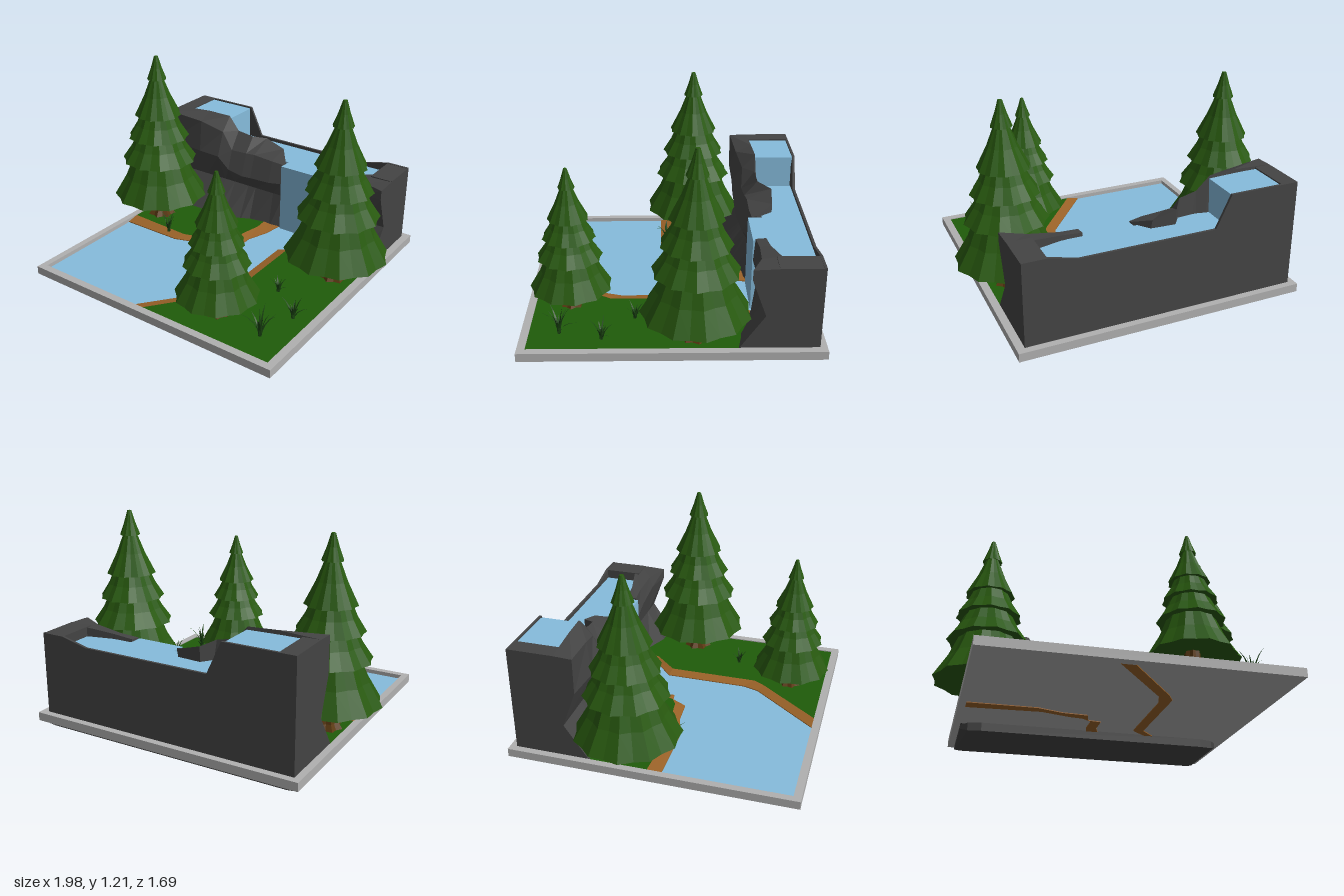
import * as THREE from 'three';

const mat = (color, side = THREE.FrontSide) =>
  new THREE.MeshStandardMaterial({ color, flatShading: true, side });
const rockMat = mat(0x444444, THREE.DoubleSide);
const waterMat = mat(0x86bcdc);
const frameMat = mat(0xb0b0b0);
const earthMat = mat(0x9a6228, THREE.DoubleSide);
const grassMat = mat(0x1f5c0a);
const leafMat = mat(0x28590f);
const barkMat = mat(0x5c3a12);
const cutMat = mat(0xa8701e);
const bladeMat = mat(0x1b4512, THREE.DoubleSide);

function add(parent, name, geometry, material) {
  const mesh = new THREE.Mesh(geometry, material);
  mesh.name = name;
  parent.add(mesh);
  return mesh;
}

// box given by its min and max corners
function box(parent, name, material, x0, x1, y0, y1, z0, z1) {
  const g = new THREE.BoxGeometry(x1 - x0, y1 - y0, z1 - z0);
  g.translate((x0 + x1) / 2, (y0 + y1) / 2, (z0 + z1) / 2);
  return add(parent, name, g, material);
}

// skin over closed rings of [x, y, z] points, with optional end caps in the yz plane
function loft(rings, caps) {
  const pos = [];
  const n = rings[0].length;
  for (let i = 0; i < rings.length - 1; i++) {
    for (let j = 0; j < n; j++) {
      const k = (j + 1) % n;
      const a = rings[i][j], b = rings[i][k], c = rings[i + 1][k], d = rings[i + 1][j];
      pos.push(...a, ...d, ...c, ...a, ...c, ...b);
    }
  }
  if (caps) {
    for (const ring of [rings[0], rings[rings.length - 1]]) {
      const flat = ring.map(p => new THREE.Vector2(p[2], p[1]));
      for (const t of THREE.ShapeUtils.triangulateShape(flat, [])) t.forEach(v => pos.push(...ring[v]));
    }
  }
  const g = new THREE.BufferGeometry();
  g.setAttribute('position', new THREE.Float32BufferAttribute(pos, 3));
  g.computeVertexNormals();
  return g;
}

// outline of [a, b] points pushed along z
function extrude(outline, depth) {
  const shape = new THREE.Shape(outline.map(([a, b]) => new THREE.Vector2(a, b)));
  return new THREE.ExtrudeGeometry(shape, { depth, bevelEnabled: false });
}

// turned profile whose radius alternates to make lobes
function fluted(profile, lobes, amount) {
  const g = new THREE.LatheGeometry(profile.map(([r, y]) => new THREE.Vector2(r, y)), lobes * 2);
  const p = g.attributes.position;
  for (let i = 0; i < p.count; i++) {
    const side = Math.floor(i / profile.length) % 2;
    const f = 1 + (side ? -amount : amount);
    p.setXYZ(i, p.getX(i) * f, p.getY(i), p.getZ(i) * f);
  }
  g.computeVertexNormals();
  return g;
}

function makeTree(x, z, scale, turn) {
  const tree = new THREE.Group();
  tree.name = 'pineTree';
  add(tree, 'trunk', fluted([[0.085, -0.01], [0.062, 0.03], [0.053, 0.08], [0.05, 0.22]], 7, 0.12), barkMat);
  // base radius, base height, top radius, top height
  const tiers = [
    [0.3, 0.155, 0.165, 0.43], [0.237, 0.41, 0.135, 0.59], [0.193, 0.57, 0.105, 0.74],
    [0.147, 0.72, 0.035, 0.98], [0.06, 0.96, 0.012, 1.11],
  ];
  tiers.forEach(([r0, y0, r1, y1], i) => {
    const mid = [r0 * 0.45 + r1 * 0.52, y0 + (y1 - y0) * 0.5];
    const tier = add(tree, 'foliageTier', fluted([[0, y0 + 0.03], [r0, y0], mid, [r1, y1], [0, y1]], 11, 0.035), leafMat);
    tier.rotation.y = i * 0.4;
  });
  tree.scale.setScalar(scale);
  tree.rotation.y = turn;
  tree.position.set(x, 0.1, z);
  return tree;
}

function makeTuft(x, z, height, turn) {
  const tuft = new THREE.Group();
  tuft.name = 'grassTuft';
  for (let i = 0; i < 13; i++) {
    const h = height * (0.6 + 0.4 * ((i * 5) % 7) / 6);
    const lean = height * (0.12 + 0.45 * ((i * 3) % 5) / 4);
    const g = new THREE.PlaneGeometry(0.014, h, 1, 4).translate(0, h / 2, 0);
    const p = g.attributes.position;
    for (let v = 0; v < p.count; v++) {
      const t = p.getY(v) / h;
      p.setXYZ(v, p.getX(v) * (1 - t * t), p.getY(v) - lean * 0.3 * t ** 3, 0.006 + lean * t * t);
    }
    add(tuft, 'blade', g, bladeMat).rotation.y = turn + i * Math.PI * 2 / 13;
  }
  tuft.position.set(x, 0.09, z);
  return tuft;
}

export function createModel() {
  const model = new THREE.Group();
  model.name = 'waterfallDiorama';

  // base tray
  box(model, 'basePlate', frameMat, -0.82, 0.83, 0.05, 0.06, -0.82, 0.82);
  box(model, 'frameFront', frameMat, -0.84, 0.855, 0.05, 0.1, 0.8, 0.845);
  box(model, 'frameBack', frameMat, -0.84, 0.855, 0.05, 0.1, -0.845, -0.805);
  box(model, 'frameRight', frameMat, -0.84, -0.8, 0.05, 0.1, -0.805, 0.8);
  box(model, 'frameLeft', frameMat, 0.81, 0.855, 0.05, 0.1, -0.805, 0.8);
  box(model, 'lake', waterMat, -0.8, 0.81, 0.06, 0.075, -0.5, 0.8);

  // rock foot below the tray
  const foot = [[-0.8, -0.36, 0.025], [-0.76, -0.31, 0.003], [-0.68, -0.29, 0],
    [0.69, -0.29, 0], [0.77, -0.31, 0.003], [0.81, -0.36, 0.025]];
  add(model, 'rockFoot', loft(foot.map(([x, z, y]) =>
    [[x, y, z], [x, 0.052, z], [x, 0.052, -0.805], [x, Math.max(y, 0.02), -0.805]]), true), rockMat);

  // overhanging cliff front: x, base z, lip z, lip y, rim z, rim y, inner z, inner y
  const cliff = [
    [-0.8, -0.33, -0.42, 0.52, -0.42, 0.735, -0.53, 0.74],
    [-0.55, -0.33, -0.42, 0.5, -0.44, 0.71, -0.54, 0.755],
    [-0.39, -0.32, -0.41, 0.5, -0.47, 0.66, -0.55, 0.75],
    [-0.31, -0.34, -0.42, 0.42, -0.46, 0.55, -0.54, 0.665],
    [-0.2, -0.38, -0.42, 0.4, -0.47, 0.55, -0.55, 0.645],
    [-0.14, -0.42, -0.43, 0.4, -0.48, 0.55, -0.63, 0.62],
    [0, -0.45, -0.44, 0.4, -0.48, 0.54, -0.62, 0.58],
    [0.08, -0.48, -0.47, 0.4, -0.49, 0.53, -0.52, 0.54],
  ];
  const cliffLeft = [
    [0.38, -0.47, -0.47, 0.4, -0.48, 0.54, -0.54, 0.545],
    [0.5, -0.43, -0.47, 0.45, -0.49, 0.55, -0.55, 0.56],
    [0.67, -0.36, -0.46, 0.5, -0.48, 0.57, -0.59, 0.585],
    [0.81, -0.33, -0.42, 0.52, -0.42, 0.58, -0.59, 0.588],
  ];
  const cliffRing = ([x, baseZ, lipZ, lipY, rimZ, rimY, innerZ, innerY]) => [
    [x, 0.05, baseZ], [x, 0.3, -0.5], [x, lipY, lipZ], [x, rimY, rimZ], [x, innerY, innerZ], [x, 0.05, -0.6],
  ];
  add(model, 'cliffFrontRight', loft(cliff.map(cliffRing), true), rockMat);
  add(model, 'cliffFrontLeft', loft(cliffLeft.map(cliffRing), true), rockMat);

  // cliff sides, back and the sill behind the waterfall
  box(model, 'cliffSideRight', rockMat, -0.8, -0.7, 0.05, 0.74, -0.805, -0.53);
  box(model, 'cliffSideLeft', rockMat, 0.67, 0.81, 0.05, 0.588, -0.805, -0.56);
  box(model, 'waterfallSill', rockMat, 0.07, 0.39, 0.05, 0.51, -0.6, -0.49);
  const backOutline = [[-0.8, 0.05], [0.81, 0.05], [0.81, 0.59], [0.67, 0.59], [0.5, 0.55], [-0.29, 0.55], [-0.38, 0.74], [-0.8, 0.74]];
  add(model, 'cliffBack', extrude(backOutline, 0.015).translate(0, 0, -0.805), rockMat);

  // pools and falling water
  box(model, 'upperPool', waterMat, -0.7, -0.392, 0.69, 0.732, -0.79, -0.54);
  box(model, 'upperFall', waterMat, -0.398, -0.385, 0.5, 0.732, -0.785, -0.54);
  box(model, 'lowerPool', waterMat, -0.39, 0.672, 0.5, 0.53, -0.79, -0.55);
  box(model, 'poolOutlet', waterMat, 0.082, 0.38, 0.5, 0.53, -0.56, -0.466);
  box(model, 'waterfall', waterMat, 0.08, 0.38, 0.06, 0.53, -0.495, -0.466);

  // sloped earth banks (water-side x z, then grass-side x z) with a meadow behind each
  const rightBank = [[-0.8, 0.06, -0.8, -0.02], [-0.4, 0.06, -0.37, 0], [-0.25, 0.01, -0.2, -0.05],
    [-0.1, 0, -0.12, -0.06], [-0.08, -0.09, -0.07, -0.09], [0, -0.1, -0.06, -0.12],
    [0, -0.22, -0.06, -0.23], [0.05, -0.36, -0.03, -0.37], [0.07, -0.5, -0.04, -0.5]];
  const leftBank = [[0.42, -0.5, 0.47, -0.5], [0.36, -0.33, 0.42, -0.34], [0.23, -0.21, 0.29, -0.2],
    [0.23, 0.3, 0.29, 0.36], [0.2, 0.4, 0.25, 0.43], [-0.12, 0.8, -0.04, 0.8]];
  const addLand = (side, path, corners) => {
    const rings = path.map(([x, z, u, w]) => [[x, 0.045, z], [x, 0.08, z], [u, 0.095, w], [u, 0.045, w]]);
    add(model, side + 'Bank', loft(rings, false), earthMat);
    const outline = [...path.map(p => [p[2], p[3]]), ...corners].map(([x, z]) => [x, -z]);
    add(model, side + 'Meadow', extrude(outline, 0.034).rotateX(-Math.PI / 2).translate(0, 0.06, 0), grassMat);
  };
  addLand('right', rightBank, [[-0.8, -0.5]]);
  addLand('left', leftBank, [[0.81, 0.8], [0.81, -0.5]]);

  // pine trees
  model.add(makeTree(-0.69, -0.16, 1, 0.3), makeTree(0.68, -0.13, 1, 0), makeTree(0.335, 0.585, 0.775, 0.6));

  // tree stump with a lighter hollowed cut
  const stump = new THREE.Group();
  stump.name = 'stump';
  add(stump, 'stumpBark', fluted([[0.078, -0.01], [0.056, 0.025], [0.047, 0.05], [0.052, 0.085], [0.04, 0.085], [0.036, 0.07]], 7, 0.1), barkMat);
  add(stump, 'stumpCut', new THREE.CylinderGeometry(0.042, 0.042, 0.01, 12).translate(0, 0.07, 0), cutMat);
  stump.position.set(-0.23, 0.1, -0.26);
  model.add(stump);

  // grass tufts: x, z, height
  [[0.5, 0.21, 0.11], [0.71, 0.39, 0.14], [0.65, 0.63, 0.19], [-0.35, -0.24, 0.15], [-0.48, 0.02, 0.15]]
    .forEach(([x, z, h], i) => model.add(makeTuft(x, z, h, i * 0.7)));

  return model;
}
